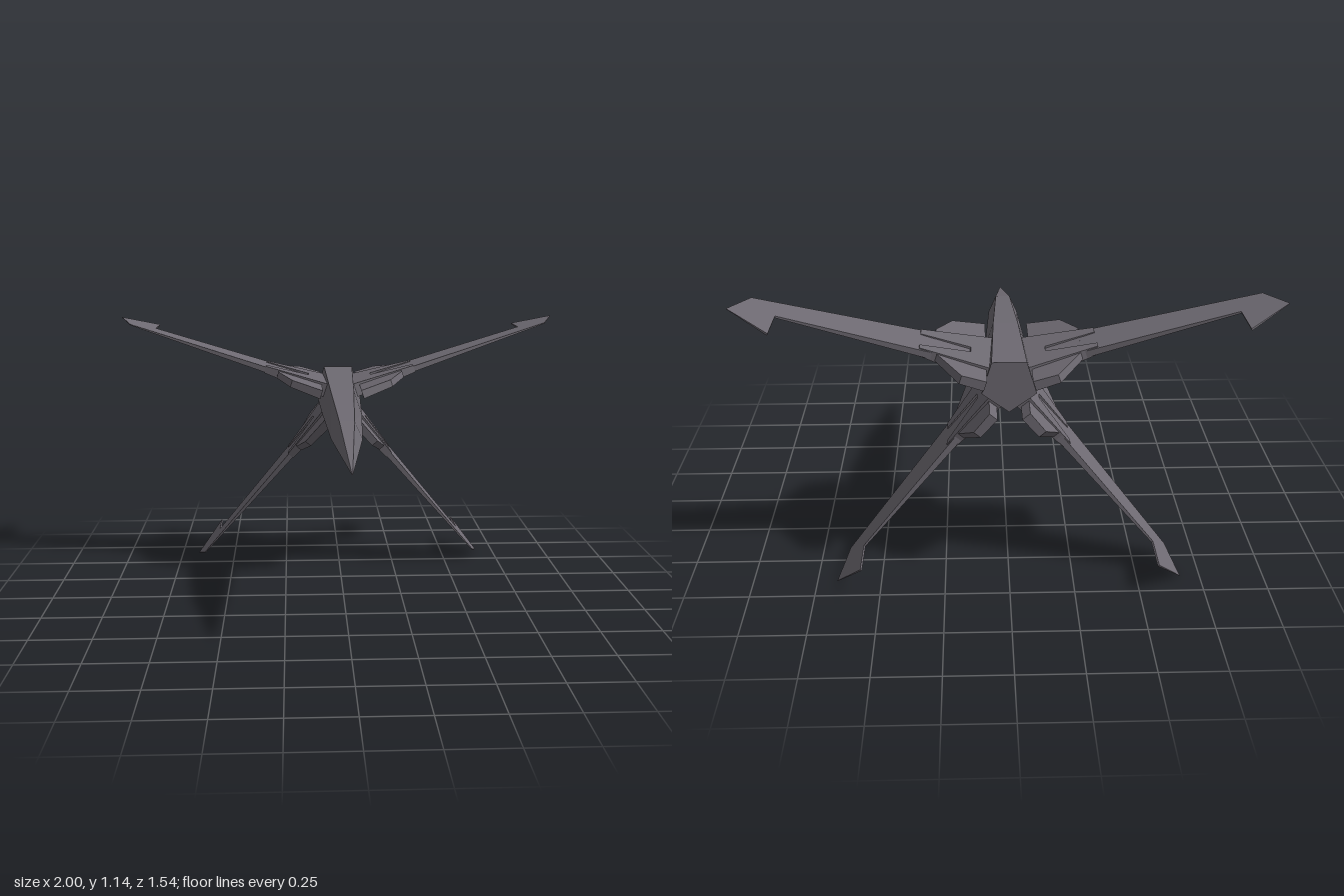
import * as THREE from 'three';

const hull = new THREE.MeshStandardMaterial({ color: 0x6e6a72, flatShading: true });
hull.name = 'dark grey hull';

// Flat plate from [span, distance aft] outline; thickness runs linearly between two span stations
function taperedPlate(name, outline, u0, t0, u1, t1) {
  const shape = new THREE.Shape(outline.map(([u, aft]) => new THREE.Vector2(u, aft)));
  const geo = new THREE.ExtrudeGeometry(shape, { depth: 1, bevelEnabled: false });
  geo.translate(0, 0, -0.5);
  geo.rotateX(-Math.PI / 2);
  const p = geo.attributes.position;
  for (let i = 0; i < p.count; i++) {
    const t = t0 + (t1 - t0) * (p.getX(i) - u0) / (u1 - u0);
    p.setY(i, p.getY(i) * t);
  }
  geo.computeVertexNormals();
  const mesh = new THREE.Mesh(geo, hull);
  mesh.name = name;
  return mesh;
}

// Fuselage: pentagonal sections [z, topHalf, topY, midHalf, midY], keel along the bottom
function createFuselage() {
  const keelY = 0.71;
  const stations = [
    [0.77, 0.001, 0.712, 0.002, 0.711],
    [0.33, 0.03, 0.825, 0.062, 0.752],
    [-0.13, 0.05, 0.875, 0.085, 0.77],
    [-0.62, 0.065, 0.91, 0.102, 0.785],
  ];
  const rings = stations.map(([z, a, ty, b, my]) => [
    [a, ty, z], [-a, ty, z], [-b, my, z], [0, keelY, z], [b, my, z],
  ]);
  const pos = [];
  const tri = (a, b, c) => pos.push(...a, ...b, ...c);
  for (let s = 0; s < rings.length - 1; s++) {
    const f = rings[s], r = rings[s + 1];
    for (let i = 0; i < 5; i++) {
      const j = (i + 1) % 5;
      tri(f[i], r[i], f[j]);
      tri(f[j], r[i], r[j]);
    }
  }
  // Nose and tail caps
  const nose = rings[0], tail = rings[rings.length - 1];
  for (let i = 1; i < 4; i++) {
    tri(nose[0], nose[i], nose[i + 1]);
    tri(tail[0], tail[i + 1], tail[i]);
  }
  const geo = new THREE.BufferGeometry();
  geo.setAttribute('position', new THREE.Float32BufferAttribute(pos, 3));
  geo.computeVertexNormals();
  const mesh = new THREE.Mesh(geo, hull);
  mesh.name = 'fuselage';
  return mesh;
}

// One wing lying along +x, with hooked tip, slotted root fairing and engine pod
function createWing(name, pivotY, angle) {
  const wing = new THREE.Group();
  wing.name = name;
  wing.add(
    taperedPlate('wingBlade', [
      [0.06, 0.31], [0.345, 0.37], [0.985, 0.488], [1.048, 0.65],
      [0.88, 0.775], [0.88, 0.603], [0.28, 0.565], [0.06, 0.58],
    ], 0.06, 0.034, 1.048, 0.002),
    taperedPlate('rootFairing', [
      [0.06, 0.29], [0.35, 0.37], [0.35, 0.418], [0.155, 0.438],
      [0.155, 0.482], [0.35, 0.525], [0.35, 0.558], [0.06, 0.605],
    ], 0.06, 0.062, 0.35, 0.031),
    taperedPlate('enginePod', [
      [0.093, 0.13], [0.228, 0.187], [0.292, 0.325],
      [0.285, 0.565], [0.187, 0.71], [0.093, 0.71],
    ], 0.093, 0.038, 0.292, 0.028),
  );
  wing.position.y = pivotY;
  wing.rotation.z = angle;
  return wing;
}

export function createModel() {
  const model = new THREE.Group();
  model.name = 'starfighter';
  model.add(createFuselage());
  // Plates are symmetric in thickness, so the opposite side is a plain rotation
  const pairs = [['upper', 0.827, 17.4], ['lower', 0.805, -50.1]];
  for (const [label, y, degrees] of pairs) {
    const a = THREE.MathUtils.degToRad(degrees);
    model.add(createWing(label + 'LeftWing', y, a));
    model.add(createWing(label + 'RightWing', y, Math.PI - a));
  }
  return model;
}
